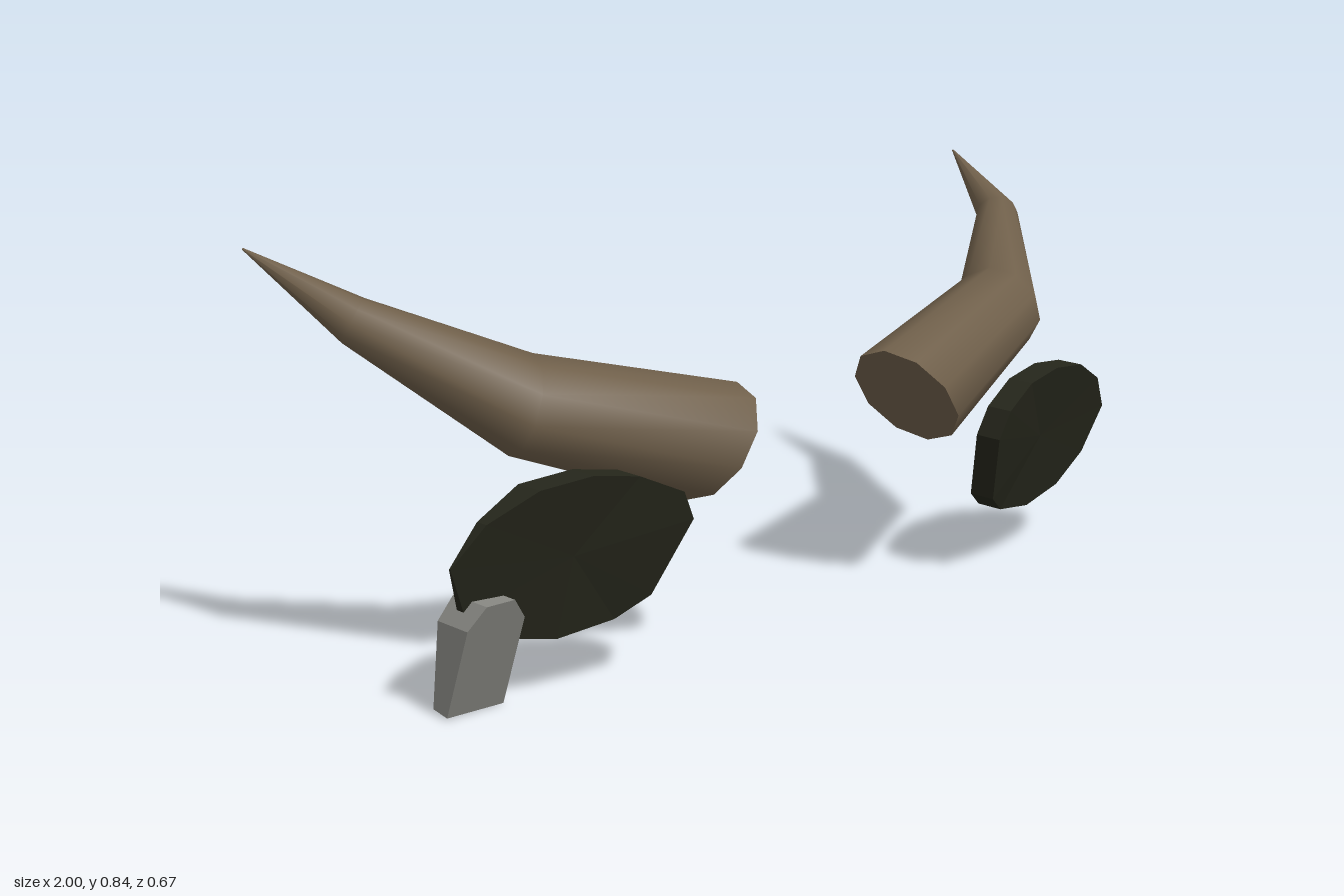
import * as THREE from 'three';
import { mergeVertices } from 'three/addons/utils/BufferGeometryUtils.js';

const V = (x, y, z) => new THREE.Vector3(x, y, z);

function build(points, index, flat) {
  const g = new THREE.BufferGeometry().setFromPoints(points);
  g.setIndex(index);
  const out = flat ? g.toNonIndexed() : g;
  out.computeVertexNormals();
  return out;
}

// Mirror across x = 0, restoring the corner order
function mirrored(geometry) {
  const g = geometry.clone();
  if (!g.index) g.setIndex([...Array(g.attributes.position.count).keys()]);
  g.scale(-1, 1, 1);
  const a = g.index.array;
  for (let i = 0; i < a.length; i += 3) [a[i + 1], a[i + 2]] = [a[i + 2], a[i + 1]];
  return g;
}

// Ten-sided ring around a centre, facing along n
const SIDES = 10;
function ring(c, n, r) {
  n.normalize();
  const u = V(0, 0, 1).addScaledVector(n, -n.z).normalize();
  const v = n.clone().cross(u);
  return Array.from({ length: SIDES }, (_, j) => {
    const a = ((j + 0.5) / SIDES) * Math.PI * 2;
    return c.clone().addScaledVector(u, Math.cos(a) * r).addScaledVector(v, Math.sin(a) * r);
  });
}

function hornGeometries() {
  const rings = [
    ring(V(0.28, 0.437, 0.203), V(0.84, 0.54, -0.1), 0.129),
    ring(V(0.68, 0.56, 0.108), V(0.88, 0.29, -0.29), 0.1),
    ring(V(0.907, 0.722, -0.103), V(0.65, 0.45, -0.62), 0.048),
    ring(V(0.999, 0.84, -0.33), V(0.4, 0.4, -0.8), 0.002),
  ];
  const index = [];
  for (let i = 0; i < rings.length - 1; i++) {
    for (let j = 0; j < SIDES; j++) {
      const k = (j + 1) % SIDES;
      const a = i * SIDES + j, b = i * SIDES + k;
      index.push(a, b, b + SIDES, a, b + SIDES, a + SIDES);
    }
  }
  const cap = [];
  for (let j = 1; j < SIDES - 1; j++) cap.push(0, j + 1, j);
  return [build(rings.flat(), index, false), build(rings[0], cap, true)];
}

// Leaf-shaped ear: nearly flat front, thin rim, domed back
function earGeometry() {
  const outline = [
    [0.93, 0.31], [0.87, 0.39], [0.77, 0.442], [0.66, 0.455], [0.56, 0.438], [0.468, 0.395],
    [0.44, 0.335], [0.495, 0.18], [0.56, 0.137], [0.68, 0.118], [0.80, 0.142], [0.885, 0.205],
  ];
  const n = outline.length;
  const frontZ = (x, y) =>
    0.252 - 0.18 * (x - 0.67) + 0.27 * (y - 0.285) + 0.2 * Math.max(0, 0.55 - x);
  const front = outline.map(([x, y]) => V(x, y, frontZ(x, y)));
  const back = front.map((p) =>
    V(p.x, p.y, p.z - 0.065 * Math.min(1, (0.94 - p.x) / 0.16)));
  const dome = V(0.67, 0.29, 0.115);
  const mid = back.map((p) => {
    const q = p.clone().lerp(dome, 0.5);
    q.z = THREE.MathUtils.lerp(p.z, dome.z, 0.62);
    return q;
  });
  const points = [...front, ...back, ...mid, V(0.67, 0.29, 0.248), dome];
  const index = [];
  for (let j = 0; j < n; j++) {
    const k = (j + 1) % n;
    index.push(3 * n, j, k);
    for (const o of [0, n]) index.push(o + j, o + n + j, o + n + k, o + j, o + n + k, o + k);
    index.push(3 * n + 1, 2 * n + k, 2 * n + j);
  }
  return build(points, index, true);
}

// Clipped-corner tag, thicker towards the top
function tagGeometry() {
  const shape = new THREE.Shape([
    [-0.908, 0.003], [-0.775, 0], [-0.775, 0.19], [-0.81, 0.235], [-0.875, 0.235], [-0.908, 0.19],
  ].map(([x, y]) => new THREE.Vector2(x, y)));
  let g = new THREE.ExtrudeGeometry(shape, { depth: 1, bevelEnabled: false });
  const p = g.attributes.position;
  for (let i = 0; i < p.count; i++) {
    const y = p.getY(i);
    const back = 0.115 + 0.12 * y, front = 0.157 + 0.38 * y;
    const isBack = p.getZ(i) < 0.5;
    p.setZ(i, isBack ? back : front);
    if (isBack && y < 0.01) p.setY(i, 0.01);
  }
  g.deleteAttribute('uv');
  g.deleteAttribute('normal');
  g = mergeVertices(g).toNonIndexed();
  g.computeVertexNormals();
  return g;
}

export function createModel() {
  const material = (name, color) => {
    const m = new THREE.MeshStandardMaterial({ color });
    m.name = name;
    return m;
  };
  const hornMat = material('horn brown', 0x6f5f4a);
  const earMat = material('dark ear', 0x25261b);
  const tagMat = material('tag grey', 0x888883);

  const model = new THREE.Group();
  model.name = 'hornsAndEars';
  const add = (name, geometry, mat) => {
    const mesh = new THREE.Mesh(geometry, mat);
    mesh.name = name;
    model.add(mesh);
  };

  // Paired parts
  const [horn, cap] = hornGeometries();
  const pairs = [['Horn', horn, hornMat], ['HornBase', cap, hornMat], ['Ear', earGeometry(), earMat]];
  for (const [name, geometry, mat] of pairs) {
    add('left' + name, geometry, mat);
    add('right' + name, mirrored(geometry), mat);
  }

  // Tag on the right ear only
  add('earTag', tagGeometry(), tagMat);
  return model;
}
